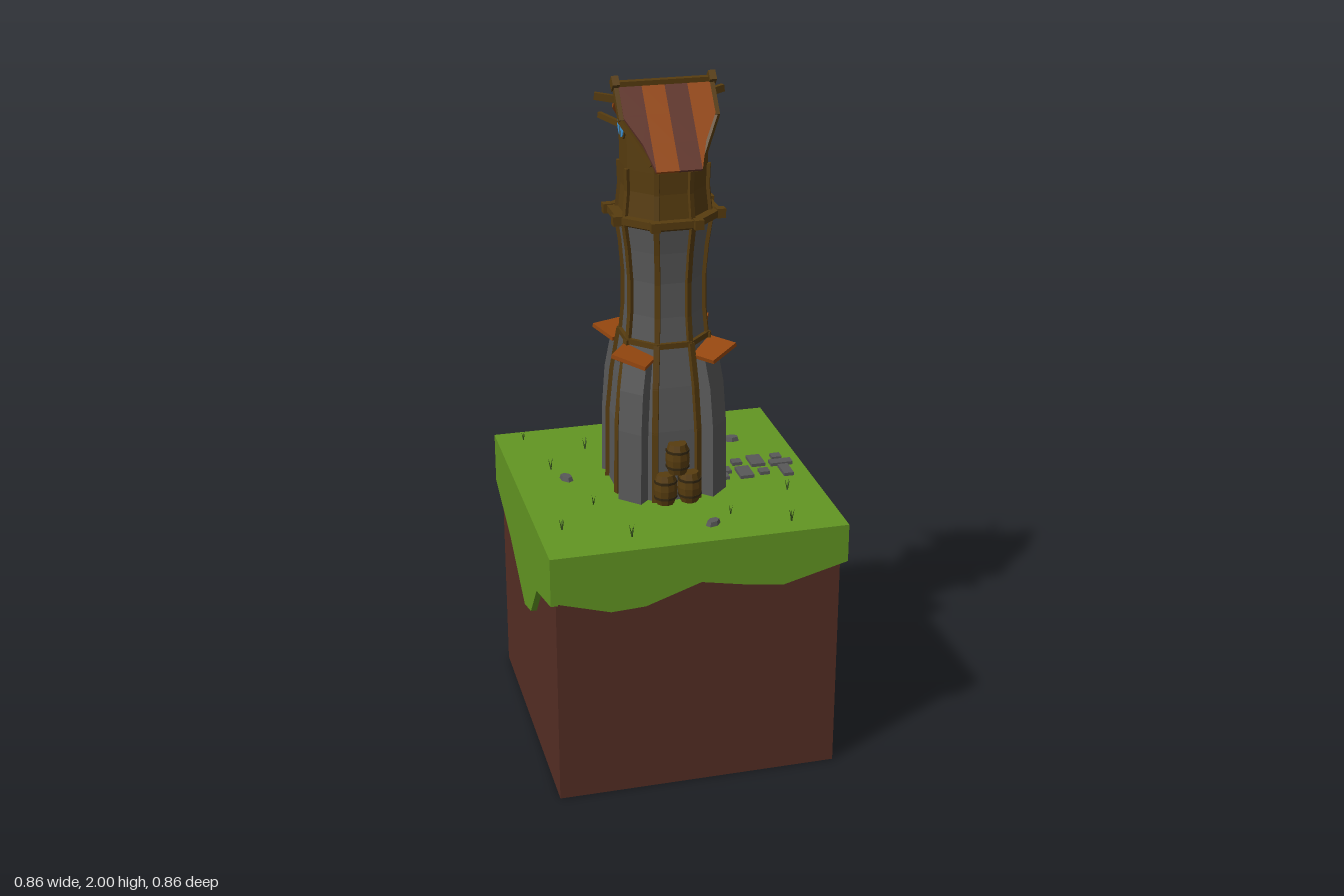
import * as THREE from 'three';

const mat = (name, color) => Object.assign(new THREE.MeshStandardMaterial({ color }), { name });
const M = {
  grass: mat('grass', 0x629622), dirt: mat('dirt', 0x552e24), stone: mat('stone', 0x585858),
  wood: mat('wood', 0x573c0f), dark: mat('dark wood', 0x33260f), orange: mat('orange tile', 0x95470f),
  brown: mat('brown tile', 0x613429), glass: mat('window blue', 0x3d93d6), tuft: mat('dark grass', 0x33501a),
};
const TAN = Math.tan(Math.PI / 8), COS = Math.cos(Math.PI / 8);
const V = (x, y, z) => new THREE.Vector3(x, y, z);

function add(parent, name, geo, material, x = 0, y = 0, z = 0) {
  const g = geo.index ? geo.toNonIndexed() : geo;
  g.computeVertexNormals();
  const m = new THREE.Mesh(g, material);
  m.name = name;
  m.position.set(x, y, z);
  parent.add(m);
  return m;
}
function group(parent, name, ry = 0) {
  const g = new THREE.Group();
  g.name = name;
  g.rotation.y = ry;
  parent.add(g);
  return g;
}
const box = (p, n, m, w, h, d, x, y, z) => add(p, n, new THREE.BoxGeometry(w, h, d), m, x, y, z);
const extrude = (pts, depth) => new THREE.ExtrudeGeometry(
  new THREE.Shape(pts.map(p => new THREE.Vector2(p[0], p[1]))), { depth, bevelEnabled: false });

// Square bar from a to b
function beam(p, n, m, a, b, w, h = w) {
  const bar = box(p, n, m, w, h, a.distanceTo(b) + w * 0.4, 0, 0, 0);
  bar.position.copy(a).add(b).multiplyScalar(0.5);
  bar.lookAt(b);
  return bar;
}
// Eight-sided shell; profile entries are [y, distance to flat]
const octagon = prof => new THREE.LatheGeometry(
  prof.map(([y, a]) => new THREE.Vector2(a / COS, y)), 8, Math.PI / 8);
const corner = (i, a, y) => {
  const t = Math.PI / 8 + i * Math.PI / 4;
  return V(Math.sin(t) * a / COS, y, Math.cos(t) * a / COS);
};
function posts(p, name, prof, w) {
  for (let i = 0; i < 8; i++) for (let k = 0; k < prof.length - 1; k++)
    beam(p, name, M.wood, corner(i, prof[k][1], prof[k][0]), corner(i, prof[k + 1][1], prof[k + 1][0]), w);
}
function ring(p, name, y, a, w, h) {
  for (let i = 0; i < 8; i++) beam(p, name, M.wood, corner(i, a, y), corner(i + 1, a, y), w, h);
}

function buildGround(root) {
  const g = group(root, 'ground');
  box(g, 'dirtBlock', M.dirt, 0.825, 0.77, 0.825, 0, 0.385, 0);
  box(g, 'grassTop', M.grass, 0.86, 0.02, 0.86, 0, 0.775, 0);
  // Ragged turf edge on each side: front, +x, back, -x
  const edges = [
    [[-.43, .65], [-.26, .6], [-.16, .605], [0, .66], [.13, .635], [.24, .62], [.43, .67]],
    [[-.43, .67], [-.22, .615], [0, .605], [.13, .585], [.17, .615], [.25, .575], [.43, .67]],
    [[-.43, .64], [-.34, .63], [-.3, .52], [-.25, .515], [-.13, .68], [-.05, .64], [.1, .63], [.26, .61], [.43, .63]],
    [[-.43, .63], [-.2, .55], [.02, .43], [.12, .46], [.22, .58], [.43, .64]],
  ];
  edges.forEach((e, i) => {
    const side = group(g, 'turfSide', i * Math.PI / 2);
    add(side, 'turfEdge', extrude([...e, [.43, .785], [-.43, .785]], 0.02), M.grass, 0, 0, 0.41);
  });
  // Paving slabs: x, z, width, depth
  [[.172, -.052, .03, .068], [.236, -.042, .03, .03], [.295, -.037, .042, .066], [.363, -.052, .03, .03],
    [.178, .006, .052, .034], [.365, -.01, .068, .03], [.172, .046, .03, .03], [.24, .033, .042, .068],
    [.298, .04, .03, .03], [.364, .047, .03, .066]]
    .forEach(([x, z, w, d]) => box(g, 'pavingSlab', M.stone, w, 0.012, d, x, 0.789, z));
  // Flat rocks
  [[.27, -.21, 0.1], [-.28, -.06, 1.1], [.06, .33, -0.6]].forEach(([x, z, r]) => {
    const rock = add(g, 'rock', new THREE.CylinderGeometry(0.8, 1, 1, 6), M.stone, x, 0.791, z);
    rock.scale.set(0.026, 0.014, 0.017);
    rock.rotation.y = -r;
  });
  // Grass tufts with three blades
  [[-.35, -.37], [.11, -.36], [-.18, -.26], [-.045, -.235], [.19, -.205], [-.31, -.14], [-.24, .125],
    [-.36, .26], [-.18, .35], [.125, .28], [.33, .17], [.28, .365]].forEach(([x, z], i) => {
    const t = group(g, 'grassTuft', i * 1.3);
    t.position.set(x, 0.785, z);
    t.scale.setScalar(i % 3 ? 1 : 0.75);
    for (let k = 0; k < 3; k++) {
      const s = group(t, 'bladeMount', k * 2.1);
      const blade = add(s, 'blade', new THREE.ConeGeometry(0.003, 0.04, 3), M.tuft, 0, 0.018, 0.004);
      blade.rotation.x = 0.25;
    }
  });
}

function buildTower(root) {
  const g = group(root, 'tower');
  const low = [[.78, .152], [1, .149], [1.13, .137], [1.25, .118]];
  const up = [[1.25, .113], [1.33, .106], [1.43, .105], [1.52, .112], [1.6, .123]];
  add(g, 'lowerWall', octagon(low), M.stone);
  add(g, 'upperWall', octagon(up), M.stone);
  posts(g, 'lowerPost', low, 0.017);
  posts(g, 'upperPost', up, 0.015);
  ring(g, 'middleTrim', 1.25, 0.115, 0.016, 0.016);
  // Curved buttresses under small tiled awnings on the diagonals
  const buttress = [[-.78, .1], [-.78, .19], [-1, .187], [-1.12, .177], [-1.21, .158], [-1.21, .1]];
  for (let i = 0; i < 4; i++) {
    const b = group(g, 'buttressSide', Math.PI / 4 + i * Math.PI / 2);
    const wall = add(b, 'buttress', extrude(buttress.map(([y, r]) => [-r, -y]), 0.076), M.stone, -0.038, 0, 0);
    wall.rotation.y = Math.PI / 2;
    beam(b, 'awning', M.orange, V(0, 1.258, .128), V(0, 1.192, .194), 0.092, 0.012).scale.z = 0.8;
    beam(b, 'awningUnderside', M.dark, V(0, 1.246, .13), V(0, 1.186, .188), 0.07, 0.008).scale.z = 0.7;
  }
  // Balcony ring with corner blocks
  add(g, 'balconyFloor', octagon([[1.585, .115], [1.6, .142], [1.62, .142], [1.622, .01]]), M.wood);
  ring(g, 'balconyBeam', 1.612, 0.142, 0.016, 0.02);
  for (let i = 0; i < 8; i++) {
    const c = corner(i, 0.148, 1.612);
    box(g, 'balconyBlock', M.wood, 0.026, 0.027, 0.026, c.x, c.y, c.z);
  }
  // Arched door on the paved side
  const arch = (w, h) => {
    const pts = [[-w, 0], [w, 0]];
    for (let k = 0; k <= 8; k++) {
      const t = k * Math.PI / 8;
      pts.push([Math.cos(t) * w, h + Math.sin(t) * w * 0.6]);
    }
    return extrude(pts, 0.008);
  };
  const d = group(g, 'door', Math.PI / 2);
  add(d, 'doorFrame', arch(0.043, 0.143), M.dark, 0, 0.785, 0.148);
  add(d, 'doorLeaf', arch(0.039, 0.14), M.wood, 0, 0.785, 0.15);
}

function buildBarrels(root) {
  const pts = [[0, 0], [.026, 0], [.033, .025], [.035, .046], [.033, .067], [.026, .092], [0, .092]]
    .map(p => new THREE.Vector2(...p));
  for (const ry of [0, Math.PI]) {
    const g = group(root, 'barrelStack', ry);
    for (const [x, y] of [[-.036, .785], [.036, .785], [0, .877]]) {
      add(g, 'barrel', new THREE.LatheGeometry(pts, 10), M.wood, x, y, 0.162);
      for (const h of [.022, .07])
        add(g, 'barrelHoop', new THREE.CylinderGeometry(.0345, .0345, .007, 10), M.dark, x, y + h, 0.162);
    }
  }
}

const roofY = z => 1.965 - 1.25 * Math.abs(z);

function buildTopRoom(root) {
  const g = group(root, 'topRoom');
  const prof = [[1.62, .12], [1.69, .113], [1.75, .115]];
  add(g, 'roomWall', octagon(prof), M.wood);
  posts(g, 'roomPost', prof, 0.014);
  // Gable walls rise from the octagon to the roof slopes
  const a = 0.115, h = a * TAN;
  const plan = [[h, a], [a, h], [a, 0], [a, -h], [h, -a], [-h, -a], [-a, -h], [-a, 0], [-a, h], [-h, a]];
  const pos = [];
  plan.forEach(([x, z], i) => {
    const [u, w] = plan[(i + 1) % plan.length];
    const A = [x, 1.75, z], B = [u, 1.75, w], C = [u, roofY(w), w], D = [x, roofY(z), z];
    pos.push(...A, ...B, ...C, ...A, ...C, ...D);
  });
  const wall = new THREE.BufferGeometry();
  wall.setAttribute('position', new THREE.Float32BufferAttribute(pos, 3));
  add(g, 'gableWall', wall, M.wood);
  // Round window with cross bars in each gable
  for (const s of [1, -1]) {
    const w = group(g, 'window', s * Math.PI / 2);
    const disc = (n, r, t, m, z) => {
      add(w, n, new THREE.CylinderGeometry(r, r, t, 10), m, 0, 1.865, z).rotation.x = Math.PI / 2;
    };
    disc('windowFrame', 0.042, 0.006, M.wood, 0.117);
    disc('windowPane', 0.036, 0.008, M.glass, 0.118);
    box(w, 'windowBar', M.wood, 0.003, 0.072, 0.003, 0, 1.865, 0.122);
    box(w, 'windowBar', M.wood, 0.072, 0.003, 0.003, 0, 1.865, 0.122);
  }
}

function buildRoof(root) {
  const g = group(root, 'roof');
  const L = Math.hypot(1, 1.25), tilt = -Math.atan2(1, 1.25);
  const rows = [0, .055, .11, .162];
  const reach = z => Math.min(.128, .128 - (z - .06) * .8);
  for (const ry of [0, Math.PI]) {
    const side = group(g, 'roofSide', ry);
    const slope = group(side, 'tileSlope');
    slope.position.y = 1.965;
    slope.rotation.x = tilt;
    // Striped tile rows, the outer stripes cut along the diagonal
    for (let c = 0; c < 4; c++) for (let r = 0; r < 3; r++) {
      const x0 = (c - 2) * .064, z0 = rows[r], z1 = rows[r + 1];
      const clip = (x, z) => c % 3 ? x : Math.sign(x) * Math.max(.064, Math.min(Math.abs(x), reach(z)));
      if (c % 3 === 0 && reach(z0) <= .066) continue;
      const zs = [z0, ...(z0 < .06 && z1 > .06 ? [.06] : []), z1];
      const left = zs.map(z => [clip(x0, z), -z * L]);
      const right = zs.map(z => [clip(x0 + .064, z), -z * L]).reverse();
      const tile = add(slope, 'tile', extrude([...left, ...right], 0.01),
        c % 2 ? M.orange : M.brown, 0, 0, 0.002);
      tile.rotation.x = -0.03; // lower edge lifts over the next row
    }
    // Edge boards follow the roof outline
    for (const s of [1, -1]) {
      const P = (x, z) => V(s * x, roofY(z) + 0.003, z);
      beam(side, 'vergeBoard', M.wood, P(.134, 0), P(.134, .062), 0.014, 0.02);
      beam(side, 'vergeBoard', M.wood, P(.134, .062), P(.07, .144), 0.012, 0.016);
    }
    box(side, 'eaveBoard', M.wood, 0.13, 0.012, 0.01, 0, roofY(.15) - 0.008, 0.15);
  }
  // Ridge beam and end finials
  box(g, 'ridgeBeam', M.wood, 0.28, 0.018, 0.022, 0, 1.975, 0);
  for (const s of [1, -1])
    box(g, 'ridgeFinial', M.wood, 0.02, 0.03, 0.03, s * 0.136, 1.979, 0).rotation.x = Math.PI / 4;
}

export function createModel() {
  const root = new THREE.Group();
  root.name = 'watchtower';
  [buildGround, buildTower, buildBarrels, buildTopRoom, buildRoof].forEach(build => build(root));
  return root;
}
